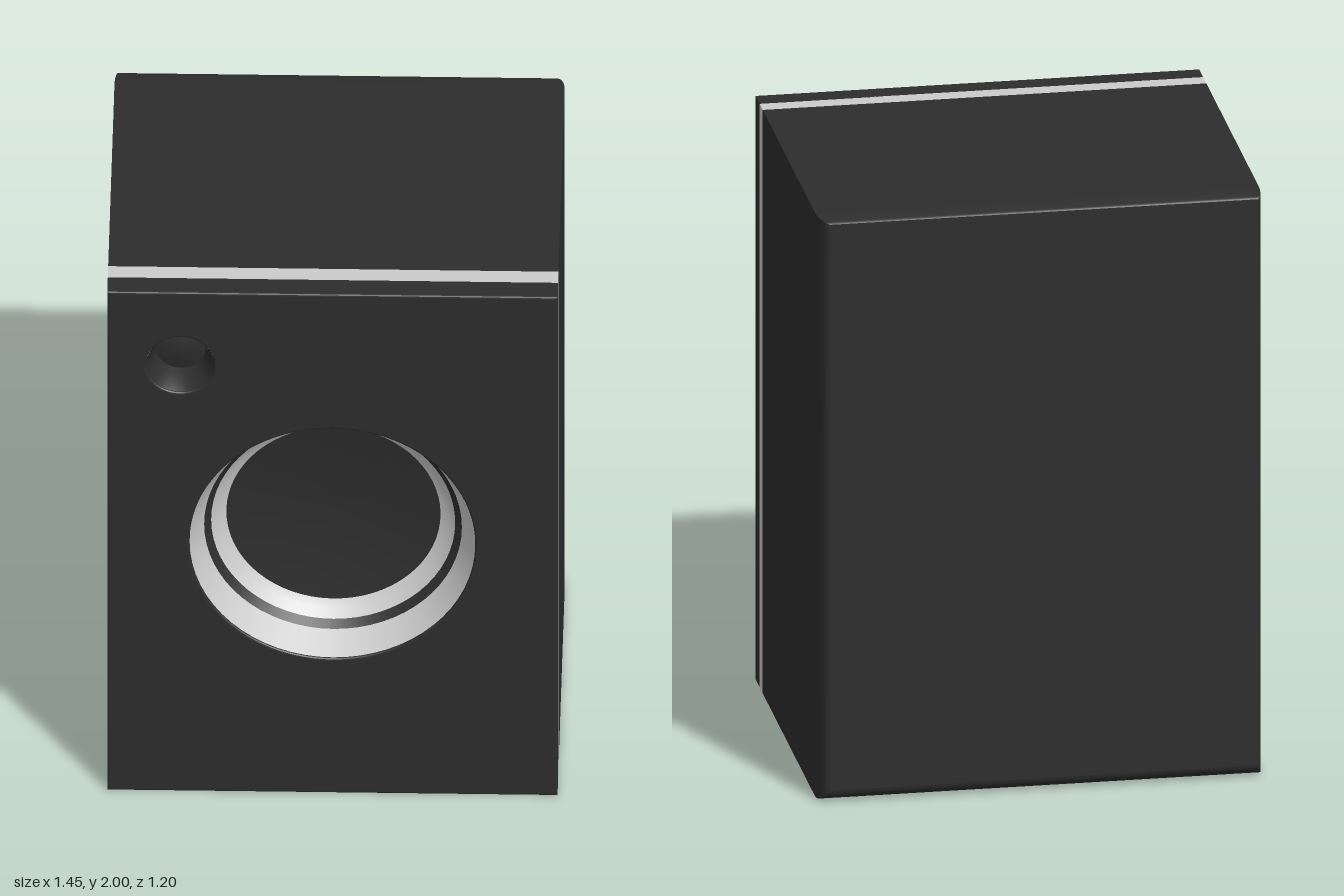
import * as THREE from 'three';

const W = 1.45, H = 2;
const dark = new THREE.MeshStandardMaterial({ color: 0x2d2d2d });
const darkThin = new THREE.MeshStandardMaterial({ color: 0x2d2d2d, side: THREE.DoubleSide });
const greyThin = new THREE.MeshStandardMaterial({ color: 0xcccccc, side: THREE.DoubleSide });
const grey = new THREE.MeshStandardMaterial({ color: 0xcccccc });

const WOOFER = { x: 0, y: 1, r: 0.46 };
const TWEETER = { x: -0.49, y: 1.71, r: 0.11 };

function named(name, geometry, material) {
  const mesh = new THREE.Mesh(geometry, material);
  mesh.name = name;
  return mesh;
}

// Rectangular slab with the two driver openings, spanning z0 to z1
function slab(z0, z1, bevel) {
  const shape = new THREE.Shape();
  shape.moveTo(-W / 2, 0);
  shape.lineTo(W / 2, 0);
  shape.lineTo(W / 2, H);
  shape.lineTo(-W / 2, H);
  shape.closePath();
  for (const d of [WOOFER, TWEETER]) {
    shape.holes.push(new THREE.Path().absarc(d.x, d.y, d.r, 0, Math.PI * 2, true));
  }
  const geo = new THREE.ExtrudeGeometry(shape, {
    depth: z1 - z0 - 2 * bevel, curveSegments: 64,
    bevelEnabled: bevel > 0, bevelThickness: bevel, bevelSize: bevel,
    bevelOffset: -bevel, bevelSegments: 3,
  });
  return geo.translate(0, 0, z0 + bevel);
}

// Box, open at the front, whose back edges curve in by a different amount per side
function cabinetGeometry() {
  const steps = 8;
  const geo = new THREE.BoxGeometry(W, H, 1, 1, 1, steps + 1);
  const p = geo.attributes.position;
  for (let i = 0; i < p.count; i++) {
    const k = Math.round((0.5 - p.getZ(i)) * (steps + 1));
    const a = Math.max(0, k - 1) / steps * Math.PI / 2;
    const inset = 1 - Math.cos(a);
    const x = p.getX(i), y = p.getY(i);
    p.setXYZ(i,
      x + inset * (x > 0 ? -0.035 : 0.015),
      y + H / 2 + inset * (y > 0 ? -0.015 : 0.045),
      k === 0 ? 0.46 : -0.52 - 0.08 * Math.sin(a));
  }
  const cap = geo.groups[4];
  const index = Array.from(geo.index.array);
  index.splice(cap.start, cap.count);
  geo.setIndex(index);
  geo.clearGroups();
  geo.computeVertexNormals();
  return geo;
}

// Surface of revolution about the z axis from [radius, z] pairs
function turned(name, driver, profile, material) {
  const geo = new THREE.LatheGeometry(profile.map(([r, z]) => new THREE.Vector2(r, z)), 64);
  const mesh = named(name, geo.rotateX(Math.PI / 2), material);
  mesh.position.set(driver.x, driver.y, 0);
  return mesh;
}

export function createModel() {
  const model = new THREE.Group();
  model.name = 'speaker';

  // Enclosure
  model.add(named('cabinet', cabinetGeometry(), dark));
  model.add(named('trimBand', slab(0.46, 0.52, 0), grey));
  model.add(named('frontPanel', slab(0.51, 0.6, 0.008), dark));

  // Large driver: stepped funnel leading to a shallow cone
  const woofer = new THREE.Group();
  woofer.name = 'woofer';
  woofer.add(
    turned('outerRing', WOOFER, [[0.415, 0.5], [0.46, 0.593]], greyThin),
    turned('surround', WOOFER, [[0.393, 0.475], [0.415, 0.5]], darkThin),
    turned('innerRing', WOOFER, [[0.345, 0.43], [0.37, 0.447], [0.393, 0.475]], greyThin),
    turned('cone', WOOFER, [[0, 0.395], [0.12, 0.399], [0.24, 0.411], [0.345, 0.43]], darkThin),
  );
  model.add(woofer);

  // Small driver: smooth dish with a slightly domed centre
  const tweeter = new THREE.Group();
  tweeter.name = 'tweeter';
  tweeter.add(
    turned('dish', TWEETER, [[0.08, 0.505], [0.086, 0.53], [0.096, 0.565], [0.11, 0.594]], darkThin),
    turned('dome', TWEETER, [[0, 0.52], [0.04, 0.517], [0.08, 0.505]], darkThin),
  );
  model.add(tweeter);

  return model;
}
